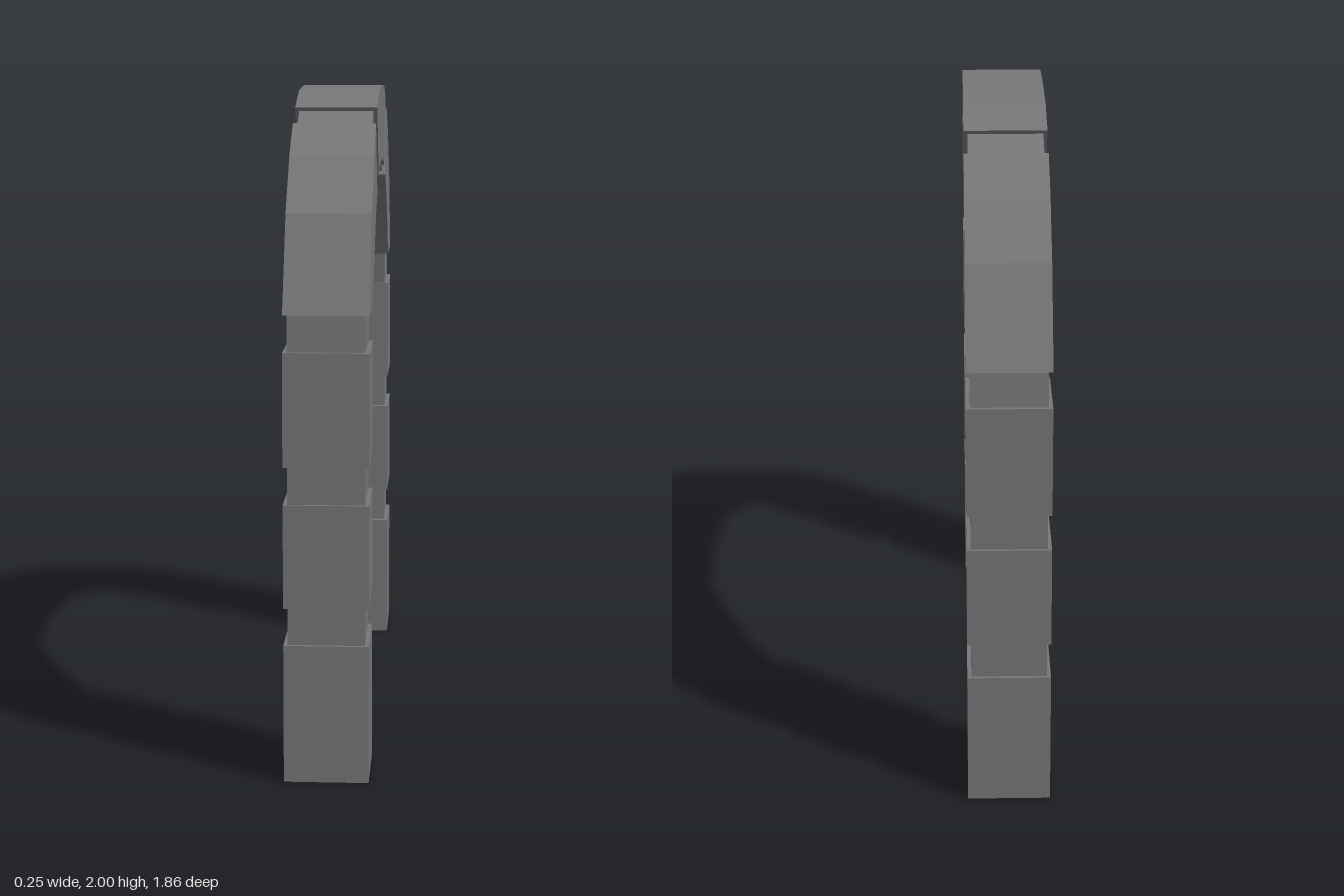
import * as THREE from 'three';

const material = new THREE.MeshStandardMaterial({ color: 0x777777, flatShading: true });
const HALF = 0.125;       // half width of the stone blocks
const HALF_NECK = 0.113;  // half width of the recessed joints

// Extrudes a [z, y] outline across x, centred on x = 0
function slab(name, outline, half) {
  const shape = new THREE.Shape(outline.map(([z, y]) => new THREE.Vector2(-z, y)));
  const geometry = new THREE.ExtrudeGeometry(shape, { depth: 2 * half, bevelEnabled: false });
  geometry.translate(0, 0, -half).rotateY(Math.PI / 2);
  const mesh = new THREE.Mesh(geometry, material);
  mesh.name = name;
  return mesh;
}

function block(name, y0, y1, z0, z1, half) {
  const mesh = new THREE.Mesh(new THREE.BoxGeometry(2 * half, y1 - y0, z1 - z0), material);
  mesh.position.set(0, (y0 + y1) / 2, (z0 + z1) / 2);
  mesh.name = name;
  return mesh;
}

// One pier with its curved haunch; side is +1 (front) or -1 (back)
function buildSide(side) {
  const group = new THREE.Group();
  group.name = side > 0 ? 'frontPier' : 'backPier';
  const span = (a, b) => (side > 0 ? [a, b] : [-b, -a]);
  const flip = (pts) => pts.map(([z, y]) => [side * z, y]);

  // Stacked pier blocks
  for (const [y0, y1] of [[0, 0.415], [0.527, 0.835], [0.945, 1.28]]) {
    group.add(block('pierBlock', y0, y1, ...span(0.678, 0.93), HALF));
  }
  // Recessed joints between the blocks
  group.add(block('lowerJoint', 0.415, 0.527, ...span(0.697, 0.919), HALF_NECK));
  group.add(block('upperJoint', 0.835, 0.945, ...span(0.693, 0.92), HALF_NECK));
  group.add(slab('springJoint', flip([
    [0.917, 1.28], [0.907, 1.386], [0.676, 1.386], [0.691, 1.28],
  ]), HALF_NECK));

  // Curved haunch stone
  group.add(slab('haunch', flip([
    [0.918, 1.386], [0.772, 1.665], [0.62, 1.82], [0.476, 1.907],
    [0.356, 1.69], [0.444, 1.64], [0.55, 1.54], [0.624, 1.455], [0.662, 1.386],
  ]), HALF));

  // Recessed joint between haunch and crown
  group.add(slab('crownJoint', flip([
    [0.474, 1.894], [0.374, 1.938], [0.258, 1.74], [0.36, 1.7],
  ]), HALF_NECK));
  return group;
}

export function createModel() {
  const model = new THREE.Group();
  model.name = 'archway';
  model.add(buildSide(1), buildSide(-1));

  // Crown stone: half outlines mirrored about z = 0
  const outer = [[0.378, 1.949], [0.222, 1.992], [0.074, 2]];
  const inner = [[0.25, 1.73], [0.158, 1.753], [0.07, 1.763]];
  const mirror = (pts) => pts.map(([z, y]) => [-z, y]);
  model.add(slab('crown', [
    ...outer, ...mirror(outer).reverse(), ...mirror(inner), ...inner.reverse(),
  ], HALF));
  return model;
}
